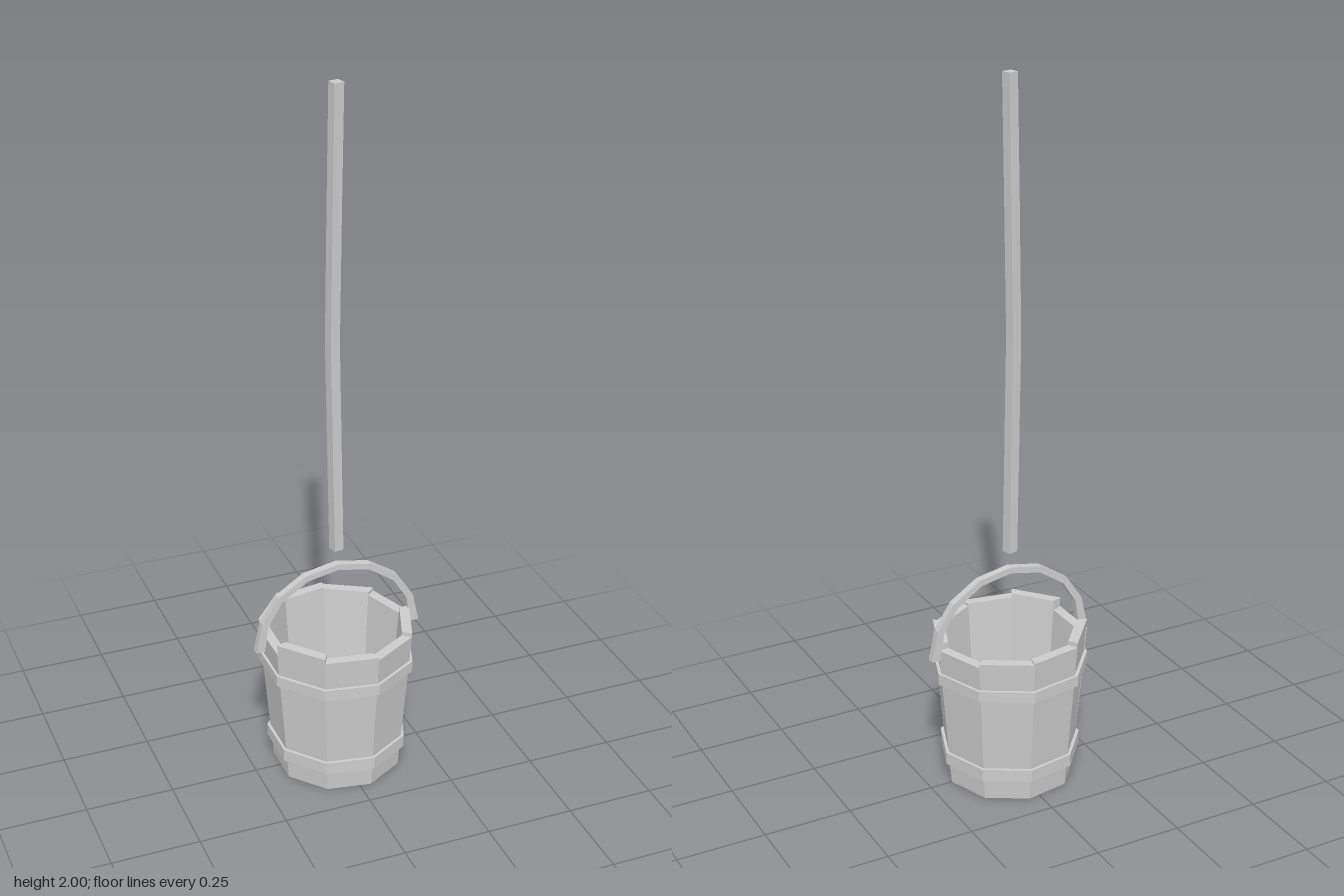
import * as THREE from 'three';

const SIDES = 9;
const STEP = (Math.PI * 2) / SIDES;

// Closed faceted solid through a list of four-cornered rings.
// Corners run anticlockwise when looking back along the path.
function loft(rings) {
  const pos = [];
  const quad = (a, b, c, d) => [a, b, c, a, c, d].forEach((p) => pos.push(...p));
  for (let i = 0; i < rings.length - 1; i++) {
    const lo = rings[i], hi = rings[i + 1];
    for (let k = 0; k < 4; k++) {
      const n = (k + 1) % 4;
      quad(lo[k], lo[n], hi[n], hi[k]);
    }
  }
  const s = rings[0], e = rings[rings.length - 1];
  quad(s[3], s[2], s[1], s[0]);
  quad(e[0], e[1], e[2], e[3]);
  const g = new THREE.BufferGeometry();
  g.setAttribute('position', new THREE.Float32BufferAttribute(pos, 3));
  g.computeVertexNormals();
  return g;
}

export function createModel() {
  const model = new THREE.Group();
  model.name = 'bucketOnRope';
  const grey = new THREE.MeshStandardMaterial({ color: 0xcccccc, flatShading: true });
  grey.name = 'plain grey';
  const add = (geometry, name, parent = model) => {
    const mesh = new THREE.Mesh(geometry, grey);
    mesh.name = name;
    parent.add(mesh);
    return mesh;
  };

  // Tapered staves with uneven tops, starting at +x and turning towards the front
  const staves = new THREE.Group();
  staves.name = 'staves';
  model.add(staves);
  const heights = [0.447, 0.436, 0.443, 0.456, 0.428, 0.456, 0.443, 0.438, 0.428];
  const at = (r, a, y) => [r * Math.cos(a), y, r * Math.sin(a)];
  heights.forEach((h, i) => {
    const a = i * STEP, b = a + STEP;
    const ring = (outer, inner, y) => [at(outer, b, y), at(outer, a, y), at(inner, a, y), at(inner, b, y)];
    add(loft([ring(0.184, 0.156, 0), ring(0.22, 0.19, h)]), 'stave' + (i + 1), staves);
  });

  // Bucket floor
  const floor = add(new THREE.CylinderGeometry(0.162, 0.16, 0.018, SIDES, 1, false, Math.PI / 2), 'floor');
  floor.position.y = 0.0095;

  // Two hoops around the staves
  const hoop = (name, inner, outer, y0, y1) => {
    const profile = [[inner, y0], [outer, y0], [outer, y1], [inner, y1], [inner, y0]];
    add(new THREE.LatheGeometry(profile.map((p) => new THREE.Vector2(...p)), SIDES, Math.PI / 2), name);
  };
  hoop('lowerHoop', 0.185, 0.201, 0.064, 0.1);
  hoop('upperHoop', 0.205, 0.222, 0.324, 0.356);

  // Arched handle: outer and inner edge points of one half, mirrored
  const half = [
    [0.245, 0.402, 0.219, 0.402],
    [0.226, 0.49, 0.207, 0.482],
    [0.178, 0.563, 0.166, 0.548],
    [0.097, 0.616, 0.091, 0.599],
    [0, 0.635, 0, 0.617],
  ];
  const arch = [...half, ...half.slice(0, -1).reverse().map(([a, b, c, d]) => [-a, b, -c, d])];
  add(loft(arch.map(([xo, yo, xi, yi]) => [
    [xo, yo, -0.011], [xi, yi, -0.011], [xi, yi, 0.011], [xo, yo, 0.011],
  ])), 'handle');

  // Slightly bowed four-sided rope hanging above the handle
  const rope = [[0, 0.68], [-0.005, 0.95], [-0.011, 1.3], [-0.006, 1.65], [0, 2]];
  add(loft(rope.map(([x, y]) => [0, 1, 2, 3].map((k) => {
    const t = 0.57 - (k * Math.PI) / 2;
    return [x - 0.002 + 0.02 * Math.cos(t), y, 0.02 * Math.sin(t)];
  }))), 'rope');

  return model;
}
